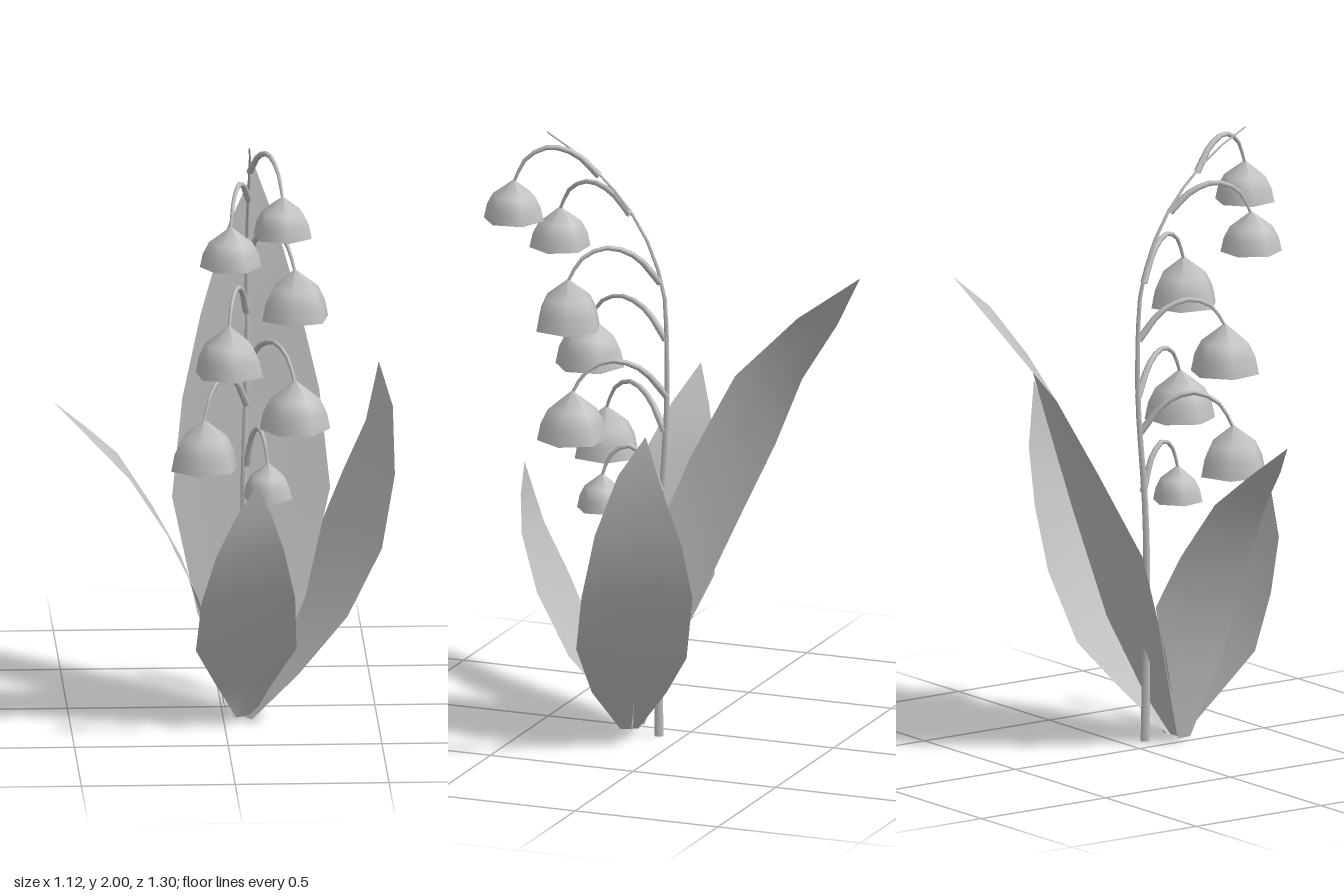
import * as THREE from 'three';

const plantGrey = new THREE.MeshStandardMaterial({ color: 0xc0c0c0, side: THREE.DoubleSide });
plantGrey.name = 'plantGrey';

const vec = (p) => new THREE.Vector3(...p);

// Smooth blade lofted between two edges, closing at a shared tip
function leaf(name, edgeA, edgeB, tip) {
  const pos = [], index = [];
  edgeA.forEach((a, i) => {
    const b = edgeB[i];
    pos.push(...a, ...a.map((v, k) => (v + b[k]) / 2), ...b);
  });
  pos.push(...tip);
  const rows = edgeA.length, last = rows * 3;
  for (let r = 0; r < rows; r++) {
    for (let c = 0; c < 2; c++) {
      const i = r * 3 + c;
      if (r < rows - 1) index.push(i, i + 1, i + 4, i, i + 4, i + 3);
      else index.push(i, i + 1, last);
    }
  }
  const g = new THREE.BufferGeometry();
  g.setAttribute('position', new THREE.Float32BufferAttribute(pos, 3));
  g.setIndex(index);
  g.computeVertexNormals();
  const mesh = new THREE.Mesh(g, plantGrey);
  mesh.name = name;
  return mesh;
}

// Tube narrowing from r0 to r1 along a curve
function taperedTube(name, points, r0, r1, segments) {
  const curve = new THREE.CatmullRomCurve3(points.map(vec));
  const sides = 6;
  const g = new THREE.TubeGeometry(curve, segments, r0, sides);
  const p = g.attributes.position, v = new THREE.Vector3();
  for (let i = 0; i < p.count; i++) {
    const t = Math.floor(i / (sides + 1)) / segments;
    const c = curve.getPointAt(t);
    v.fromBufferAttribute(p, i).sub(c).multiplyScalar(1 + (r1 / r0 - 1) * t).add(c);
    p.setXYZ(i, v.x, v.y, v.z);
  }
  const mesh = new THREE.Mesh(g, plantGrey);
  mesh.name = name;
  return mesh;
}

// Open six-sided bell hanging from its apex
function bell(x, y, z, r, h, turn) {
  const profile = [[1, -1], [0.9, -0.66], [0.7, -0.38], [0, 0]]
    .map(([a, b]) => new THREE.Vector2(a * r, b * h));
  const mesh = new THREE.Mesh(new THREE.LatheGeometry(profile, 6), plantGrey);
  mesh.name = 'bell';
  mesh.position.set(x, y, z);
  mesh.rotation.y = turn;
  return mesh;
}

export function createModel() {
  const plant = new THREE.Group();
  plant.name = 'bellFlowerPlant';

  // Arching stem
  plant.add(taperedTube('stem', [
    [0.08, 0, 0.08], [0.075, 0.4, 0.082], [0.07, 0.75, 0.075], [0.08, 1.13, 0.052],
    [0.082, 1.31, 0.052], [0.08, 1.5, 0.063], [0.08, 1.685, 0.13], [0.08, 1.83, 0.24],
    [0.077, 1.93, 0.36], [0.07, 1.995, 0.475],
  ], 0.016, 0.003, 22));

  // Leaves
  plant.add(leaf('backLeaf',
    [[0.03, 0.01, 0.18], [-0.08, 0.33, 0.045], [-0.155, 0.68, -0.1], [-0.115, 0.97, -0.25],
      [-0.05, 1.22, -0.37], [0.03, 1.44, -0.525]],
    [[0.1, 0.01, 0.17], [0.27, 0.38, 0.065], [0.355, 0.73, -0.01], [0.325, 1.03, -0.13],
      [0.26, 1.3, -0.26], [0.2, 1.5, -0.455]],
    [0.14, 1.64, -0.65]));
  plant.add(leaf('leftLeaf',
    [[0.09, 0.01, 0.21], [0.24, 0.17, 0.25], [0.4, 0.36, 0.24], [0.515, 0.57, 0.175],
      [0.56, 0.8, 0.11], [0.557, 1.01, 0.03]],
    [[0.06, 0.01, 0.16], [0.14, 0.165, 0.03], [0.235, 0.32, -0.08], [0.32, 0.55, -0.135],
      [0.4, 0.75, -0.13], [0.475, 0.93, -0.1]],
    [0.515, 1.14, -0.05]));
  plant.add(leaf('rightLeaf',
    [[0.01, 0.01, 0.21], [-0.03, 0.25, 0.3], [-0.09, 0.45, 0.32], [-0.19, 0.66, 0.315],
      [-0.31, 0.84, 0.285], [-0.44, 0.97, 0.245]],
    [[0.01, 0.01, 0.16], [-0.04, 0.24, 0.08], [-0.13, 0.5, -0.03], [-0.225, 0.68, 0],
      [-0.34, 0.87, 0.055], [-0.45, 0.98, 0.12]],
    [-0.555, 1.08, 0.19]));
  plant.add(leaf('frontLeaf',
    [[0.04, 0.02, 0.22], [-0.03, 0.15, 0.3], [-0.1, 0.29, 0.39], [-0.085, 0.47, 0.465],
      [-0.04, 0.64, 0.53], [0.02, 0.77, 0.545]],
    [[0.1, 0.02, 0.17], [0.15, 0.13, 0.24], [0.23, 0.28, 0.335], [0.22, 0.48, 0.45],
      [0.18, 0.66, 0.52], [0.14, 0.78, 0.54]],
    [0.09, 0.88, 0.547]));

  // Flowers: apex x, y, z, radius, height, stalk start y, z, stalk peak y
  const flowers = [
    [0.175, 1.855, 0.55, 0.1, 0.135, 1.87, 0.29, 1.965],
    [0.01, 1.73, 0.455, 0.1, 0.135, 1.75, 0.18, 1.835],
    [0.225, 1.555, 0.34, 0.115, 0.165, 1.53, 0.075, 1.655],
    [0.01, 1.37, 0.35, 0.115, 0.165, 1.34, 0.055, 1.46],
    [0.225, 1.18, 0.325, 0.115, 0.165, 1.15, 0.052, 1.275],
    [-0.07, 1.05, 0.325, 0.115, 0.165, 1.03, 0.06, 1.16],
    [0.14, 0.885, 0.255, 0.083, 0.12, 0.83, 0.072, 0.98],
  ];
  flowers.forEach(([x, y, z, r, h, sy, sz, peak], i) => {
    const flower = new THREE.Group();
    flower.name = 'flower' + (i + 1);
    const at = (t) => [0.08 + (x - 0.08) * t, sz + (z - sz) * t];
    const [x1, z1] = at(0.27), [x2, z2] = at(0.58), [x3, z3] = at(0.85);
    flower.add(taperedTube('stalk', [
      [0.08, sy, sz], [x1, sy + (peak - sy) * 0.75, z1], [x2, peak, z2],
      [x3, y + (peak - y) * 0.65, z3], [x, y - 0.01, z],
    ], 0.012, 0.005, 9));
    flower.add(bell(x, y, z, r, h, 0.15 + i * 0.35));
    plant.add(flower);
  });

  return plant;
}
